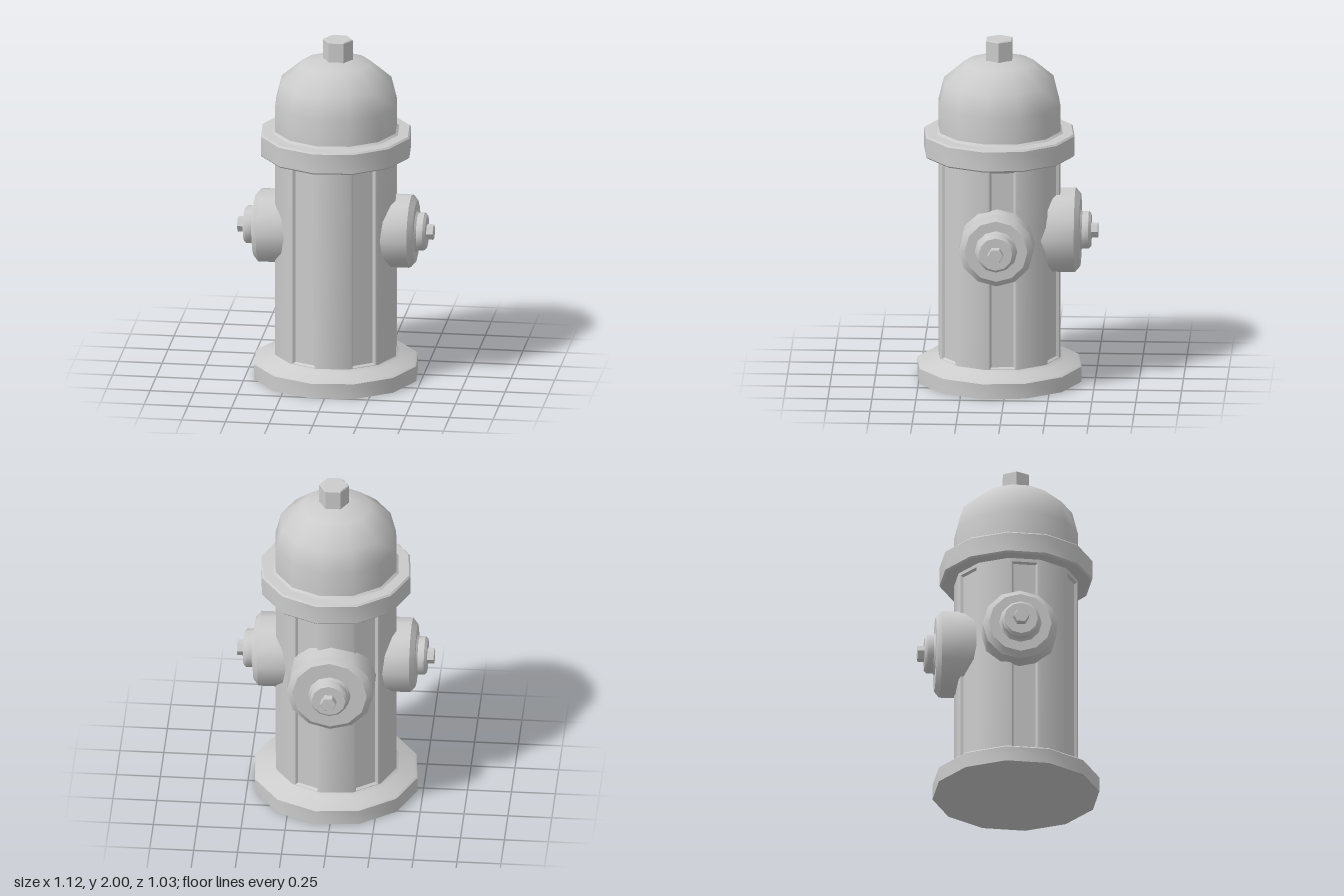
import * as THREE from 'three';
import { toCreasedNormals } from 'three/addons/utils/BufferGeometryUtils.js';

const rad = THREE.MathUtils.degToRad;
const TURN = 9.7;   // rotation of the 12-sided barrel, measured from +x towards +z
const R = 0.355;    // barrel corner radius
const material = new THREE.MeshStandardMaterial({ color: 0xcccccc });

function mesh(name, geometry, crease = 36) {
  const m = new THREE.Mesh(toCreasedNormals(geometry, rad(crease)), material);
  m.name = name;
  return m;
}

// Faceted solid of revolution from [radius, height] pairs, listed bottom to top
function turned(name, profile, sides, start, crease) {
  const points = profile.map(([r, y]) => new THREE.Vector2(r, y));
  return mesh(name, new THREE.LatheGeometry(points, sides, rad(start)), crease);
}

function hexNut(name, r, y0, y1, start) {
  const b = r * 0.06;
  return turned(name, [[r, y0], [r, y1 - b], [r - b, y1], [0, y1]], 6, start, 20);
}

// Twelve-sided barrel: every second face carries a recessed panel
function barrelGeometry() {
  const positions = [];
  const apothem = R * Math.cos(rad(15));
  const half = R * Math.sin(rad(15));
  for (let i = 0; i < 12; i++) {
    const a = rad(TURN - 15 + 30 * i);
    const c = Math.cos(a), s = Math.sin(a);
    // Rectangle on the face: half width, bottom, top, depth
    const rect = (w, y0, y1, d) => [[-w, y0], [w, y0], [w, y1], [-w, y1]].map(
      ([u, y]) => [c * (apothem - d) + s * u, y, s * (apothem - d) - c * u]);
    const quad = (p, q, r, t) => positions.push(...p, ...q, ...r, ...p, ...r, ...t);
    const rings = [rect(half, 0.11, 1.34, 0)];
    if (i % 2 === 0) {
      rings.push(rect(0.073, 0.14, 1.305, 0), rect(0.063, 0.15, 1.295, 0.014));
    }
    for (let k = 0; k + 1 < rings.length; k++) {
      for (let j = 0; j < 4; j++) {
        const n = (j + 1) % 4;
        quad(rings[k][j], rings[k][n], rings[k + 1][n], rings[k + 1][j]);
      }
    }
    quad(...rings[rings.length - 1]);
  }
  const g = new THREE.BufferGeometry();
  g.setAttribute('position', new THREE.Float32BufferAttribute(positions, 3));
  return g;
}

// Outlet pointing along +y: cap, raised ring and hexagonal nut
function outlet(name, r, nutStart) {
  const group = new THREE.Group();
  group.name = name;
  group.add(
    turned('outletCap', [[r, 0.2], [r, 0.432], [r - 0.035, 0.461], [0, 0.461]], 12, 0),
    turned('outletRing', [
      [0.122, 0.46], [0.11, 0.472], [0.11, 0.508], [0.095, 0.522], [0, 0.522],
    ], 12, 0),
    hexNut('outletNut', 0.045, 0.515, 0.562, nutStart),
  );
  return group;
}

export function createModel() {
  const model = new THREE.Group();
  model.name = 'fireHydrant';

  // Upright parts share one axis
  const column = new THREE.Group();
  column.name = 'column';
  column.position.set(0.003, 0, 0.046);
  model.add(column);
  const start = 90 - TURN;

  column.add(
    turned('base', [
      [0, 0], [0.477, 0], [0.477, 0.088], [0.466, 0.098], [0.372, 0.122], [0.35, 0.142],
    ], 12, start, 35),
    mesh('barrel', barrelGeometry(), 36),
    turned('flange', [
      [0.34, 1.325], [0.428, 1.325], [0.437, 1.334], [0.437, 1.446],
      [0.428, 1.455], [0.368, 1.458], [0.35, 1.474],
    ], 12, start),
    turned('dome', [
      [R, 1.455], [R, 1.62], [0.322, 1.752], [0.2, 1.857], [0.08, 1.883], [0, 1.885],
    ], 12, start, 50),
  );

  const topNut = hexNut('topNut', 0.085, 1.865, 2, 30);
  topNut.position.x = 0.011;
  column.add(topNut);

  // Two side outlets and a larger back outlet
  for (const side of [1, -1]) {
    const o = outlet(side > 0 ? 'leftOutlet' : 'rightOutlet', 0.213, 0);
    o.rotation.z = -side * Math.PI / 2;
    o.position.y = 0.87;
    column.add(o);
  }
  const back = outlet('backOutlet', 0.247, 30);
  back.rotation.x = -Math.PI / 2;
  back.position.y = 0.873;
  column.add(back);

  return model;
}
